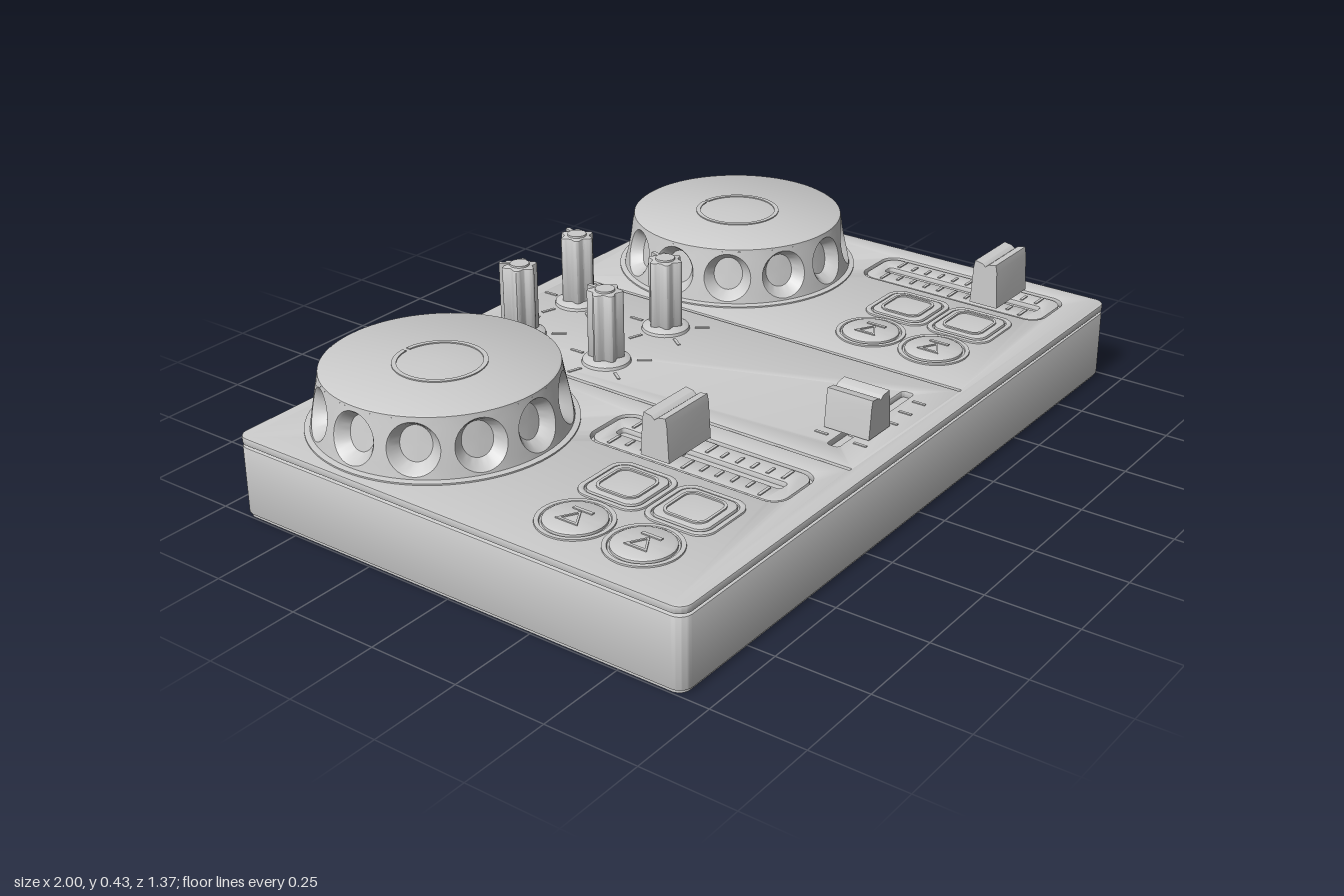
import * as THREE from 'three';
import { toCreasedNormals } from 'three/addons/utils/BufferGeometryUtils.js';

const grey = new THREE.MeshStandardMaterial({ color: 0xcccccc });
const TOP = 0.222;

function add(parent, name, geo, x = 0, y = 0, z = 0) {
  const mesh = new THREE.Mesh(toCreasedNormals(geo, 0.6), grey);
  mesh.name = name;
  mesh.position.set(x, y, z);
  parent.add(mesh);
  return mesh;
}

// Rounded rectangle centred on (x, z); shape y is -z so slabs lie flat
function roundRect(w, d, r, x = 0, z = 0, Type = THREE.Shape) {
  const s = new Type(), a = w / 2 - r, b = d / 2 - r, y = -z;
  s.absarc(x + a, y + b, r, 0, Math.PI / 2);
  s.absarc(x - a, y + b, r, Math.PI / 2, Math.PI);
  s.absarc(x - a, y - b, r, Math.PI, Math.PI * 1.5);
  s.absarc(x + a, y - b, r, Math.PI * 1.5, Math.PI * 2);
  s.closePath();
  return s;
}

// Horizontal plate from y0 to y1 with bevelled rims
function slab(shape, y0, y1, bevel = 0) {
  const geo = new THREE.ExtrudeGeometry(shape, {
    depth: y1 - y0 - 2 * bevel, bevelEnabled: bevel > 0, bevelThickness: bevel,
    bevelSize: bevel, bevelOffset: -bevel, bevelSegments: 2, curveSegments: 8,
  });
  return geo.rotateX(-Math.PI / 2).translate(0, y0 + bevel, 0);
}

const lathe = (pts, n = 48) => new THREE.LatheGeometry(pts.map(p => new THREE.Vector2(...p)), n);

// Conical wheel wall: one cell per finger dimple, swept through loops
function dimpledWall(count, y0, y1) {
  const N = 32, pos = [], idx = [], hh = (y1 - y0) / 2, mid = (y0 + y1) / 2, half = Math.PI / count;
  const rings = [[0, 0], [0.066, 0], [0.061, 0.006], [0.045, 0.034], [0, 0.034]];
  for (let c = 0; c < count; c++) {
    const base = pos.length / 3;
    rings.forEach(([r, depth], k) => {
      for (let i = 0; i < N; i++) {
        const t = (i / N) * Math.PI * 2, m = Math.max(Math.abs(Math.cos(t)), Math.abs(Math.sin(t)));
        const u = k ? (r * Math.cos(t)) / 0.314 : (half * Math.cos(t)) / m;
        const v = k ? r * Math.sin(t) : (hh * Math.sin(t)) / m;
        const R = 0.314 - (0.014 * v) / hh - depth, a = u + c * half * 2;
        pos.push(R * Math.sin(a), mid + v, R * Math.cos(a));
        if (k) {
          const j = (i + 1) % N, o = base + (k - 1) * N, n = base + k * N;
          idx.push(o + i, o + j, n + j);
          if (k < rings.length - 1) idx.push(o + i, n + j, n + i);
        }
      }
    });
  }
  const geo = new THREE.BufferGeometry();
  geo.setAttribute('position', new THREE.Float32BufferAttribute(pos, 3));
  geo.setIndex(idx);
  return geo;
}

function jogWheel(x) {
  const g = new THREE.Group();
  g.name = 'jogWheel';
  g.position.set(x, 0, -0.327);
  add(g, 'wheelFlange', lathe([[0.342, 0.215], [0.342, 0.226], [0.328, 0.229], [0.32, 0.229]], 96));
  add(g, 'wheelWall', dimpledWall(12, 0.228, 0.373));
  add(g, 'wheelTop', lathe([[0.3, 0.373], [0.299, 0.379], [0.294, 0.382], [0, 0.382]], 96));
  // Thin touch ring, open at the back
  const ring = new THREE.Shape(), gap = 0.06;
  ring.absarc(0, 0, 0.119, Math.PI / 2 + gap, Math.PI * 2.5 - gap);
  ring.absarc(0, 0, 0.107, Math.PI * 2.5 - gap, Math.PI / 2 + gap, true);
  ring.closePath();
  const geo = new THREE.ExtrudeGeometry(ring, { depth: 0.004, bevelEnabled: false, curveSegments: 48 });
  add(g, 'touchRing', geo.rotateX(-Math.PI / 2), 0, 0.381, 0);
  return g;
}

function knob(x, z, turn) {
  const g = new THREE.Group();
  g.name = 'knob';
  g.position.set(x, 0, z);
  add(g, 'knobSkirt', lathe([[0.066, TOP], [0.064, 0.23], [0.05, 0.238], [0, 0.238]], 32));
  const outline = new THREE.Shape();
  for (let i = 0; i < 72; i++) {
    const a = (i / 72) * Math.PI * 2, r = 0.042 + 0.0065 * Math.cos(6 * a);
    outline[i ? 'lineTo' : 'moveTo'](r * Math.cos(a), r * Math.sin(a));
  }
  outline.closePath();
  const grip = new THREE.Group();
  grip.rotation.y = turn;
  g.add(grip);
  add(grip, 'knobGrip', slab(outline, 0.232, 0.425, 0.004));
  add(grip, 'knobCap', lathe([[0.027, 0.42], [0.026, 0.43], [0, 0.43]], 24));
  add(grip, 'knobPointer', new THREE.BoxGeometry(0.011, 0.19, 0.04), 0, 0.333, -0.035);
  // Five scale ticks around the skirt
  for (let i = -2; i <= 2; i++) {
    const a = (i * Math.PI * 2) / 5;
    const tick = add(g, 'knobTick', new THREE.BoxGeometry(0.008, 0.005, 0.04), Math.sin(a) * 0.1, TOP, -Math.cos(a) * 0.1);
    tick.rotation.y = -a;
  }
  return g;
}

// Tapered slider cap with a notched top, its length along x
function sliderCap(length, width, height) {
  const s = new THREE.Shape(), b = width / 2, t = b * 0.76;
  [[-b, 0], [b, 0], [t + 0.004, height - 0.02], [t, height], [0.01, height - 0.004], [0, height - 0.012],
    [-0.01, height - 0.004], [-t, height], [-t - 0.004, height - 0.02]]
    .forEach((p, i) => s[i ? 'lineTo' : 'moveTo'](...p));
  s.closePath();
  return new THREE.ExtrudeGeometry(s, { depth: length, bevelEnabled: false })
    .translate(0, 0, -length / 2).rotateY(Math.PI / 2);
}

function volumeFader(x, capZ, capTop) {
  const g = new THREE.Group();
  g.name = 'volumeFader';
  g.position.x = x;
  const panel = roundRect(0.16, 0.565, 0.04, 0, 0.303);
  panel.holes.push(roundRect(0.034, 0.49, 0.01, 0, 0.303, THREE.Path));
  add(g, 'faderPanel', slab(panel, 0.19, 0.219, 0.003));
  for (let i = 0; i < 11; i++) for (const s of [-1, 1]) {
    const w = i % 5 ? 0.03 : 0.045;
    add(g, 'faderTick', new THREE.BoxGeometry(w, 0.006, 0.008), s * (0.027 + w / 2), 0.219, 0.08 + i * 0.0445);
  }
  add(g, 'faderStem', new THREE.BoxGeometry(0.022, 0.06, 0.04), 0, 0.22, capZ);
  add(g, 'faderCap', sliderCap(0.17, 0.085, capTop - 0.228), 0, 0.228, capZ);
  return g;
}

function roundButton(x, z) {
  const g = new THREE.Group();
  g.name = 'playButton';
  g.position.set(x, 0, z);
  add(g, 'buttonBezel', lathe([[0.096, 0.216], [0.095, 0.226], [0.084, 0.226], [0.081, 0.219]]));
  add(g, 'buttonCap', lathe([[0.078, 0.216], [0.077, 0.228], [0.07, 0.232], [0, 0.232]]));
  // Outlined triangle and bar
  const tri = (k, Type) => {
    const s = new Type();
    s.moveTo(-0.009 - 0.023 * k, 0.032 * k);
    s.lineTo(-0.009 - 0.023 * k, -0.032 * k);
    s.lineTo(-0.009 + 0.032 * k, 0);
    s.closePath();
    return s;
  };
  const icon = tri(1, THREE.Shape);
  icon.holes.push(tri(0.68, THREE.Path));
  add(g, 'playTriangle', slab(icon, 0.231, 0.235));
  add(g, 'playBar', new THREE.BoxGeometry(0.009, 0.006, 0.056), 0.03, 0.232, 0);
  return g;
}

function padButton(x, z) {
  const g = new THREE.Group();
  g.name = 'padButton';
  g.position.set(x, 0, z);
  const bezel = roundRect(0.192, 0.192, 0.045);
  bezel.holes.push(roundRect(0.165, 0.165, 0.035, 0, 0, THREE.Path));
  add(g, 'padBezel', slab(bezel, 0.216, 0.227, 0.002));
  add(g, 'padBase', slab(roundRect(0.157, 0.157, 0.032), 0.216, 0.23, 0.004));
  const rim = roundRect(0.122, 0.122, 0.03);
  rim.holes.push(roundRect(0.108, 0.108, 0.024, 0, 0, THREE.Path));
  add(g, 'padRim', slab(rim, 0.229, 0.234));
  return g;
}

export function createModel() {
  const model = new THREE.Group();
  model.name = 'mixingDeck';

  // Case: underside with foot holes, main body, seam and top plate
  const under = roundRect(1.99, 1.35, 0.03);
  for (const sx of [-1, 1]) for (const sz of [-1, 1]) for (const dx of [-1, 1]) for (const dz of [-1, 1]) {
    const hole = new THREE.Path();
    hole.absarc(sx * 0.81 + dx * 0.05, sz * 0.515 + dz * 0.05, 0.019, 0, Math.PI * 2);
    under.holes.push(hole);
  }
  add(model, 'underside', slab(under, 0, 0.02));
  add(model, 'body', slab(roundRect(2, 1.364, 0.035), 0.008, 0.196, 0.004));
  add(model, 'seam', slab(roundRect(1.975, 1.34, 0.03), 0.19, 0.205));
  const plate = roundRect(2, 1.364, 0.035);
  for (const s of [-1, 1]) plate.holes.push(roundRect(0.009, 1.27, 0.004, s * 0.263, -0.003, THREE.Path));
  for (const x of [-0.42, 0.847]) plate.holes.push(roundRect(0.176, 0.58, 0.046, x, 0.303, THREE.Path));
  plate.holes.push(roundRect(0.36, 0.034, 0.01, -0.005, 0.53, THREE.Path));
  add(model, 'topPlate', slab(plate, 0.202, TOP, 0.003));

  // Cable socket on the back
  const socket = roundRect(0.1, 0.05, 0.02);
  socket.holes.push(roundRect(0.084, 0.034, 0.014, 0, 0, THREE.Path));
  add(model, 'socketRim', new THREE.ExtrudeGeometry(socket, { depth: 0.004, bevelEnabled: false }), -0.37, 0.115, -0.685);
  add(model, 'socketTongue', new THREE.BoxGeometry(0.05, 0.01, 0.004), -0.37, 0.115, -0.683);

  // Two decks
  for (const x of [-0.638, 0.632]) {
    model.add(jogWheel(x));
    for (const z of [0.257, 0.453]) {
      model.add(roundButton(x - 0.199, z), padButton(x - 0.005, z));
    }
  }
  model.add(volumeFader(-0.42, 0.232, 0.345), volumeFader(0.847, 0.42, 0.355));

  // Mixer knobs
  model.add(knob(-0.13, -0.503, 0.5), knob(0.125, -0.513, -0.4), knob(-0.13, -0.212, 0), knob(0.13, -0.212, -0.3));

  // Crossfader
  const cross = new THREE.Group();
  cross.name = 'crossfader';
  model.add(cross);
  for (const x of [-0.145, 0, 0.067, 0.135]) for (const z of [0.473, 0.585]) {
    add(cross, 'crossTick', new THREE.BoxGeometry(0.008, 0.005, 0.036), x, TOP, z);
  }
  add(cross, 'crossStem', new THREE.BoxGeometry(0.04, 0.05, 0.022), -0.072, 0.215, 0.53);
  add(cross, 'crossCap', sliderCap(0.13, 0.1, 0.103), -0.072, 0.227, 0.53).rotation.y = Math.PI / 2;
  return model;
}
